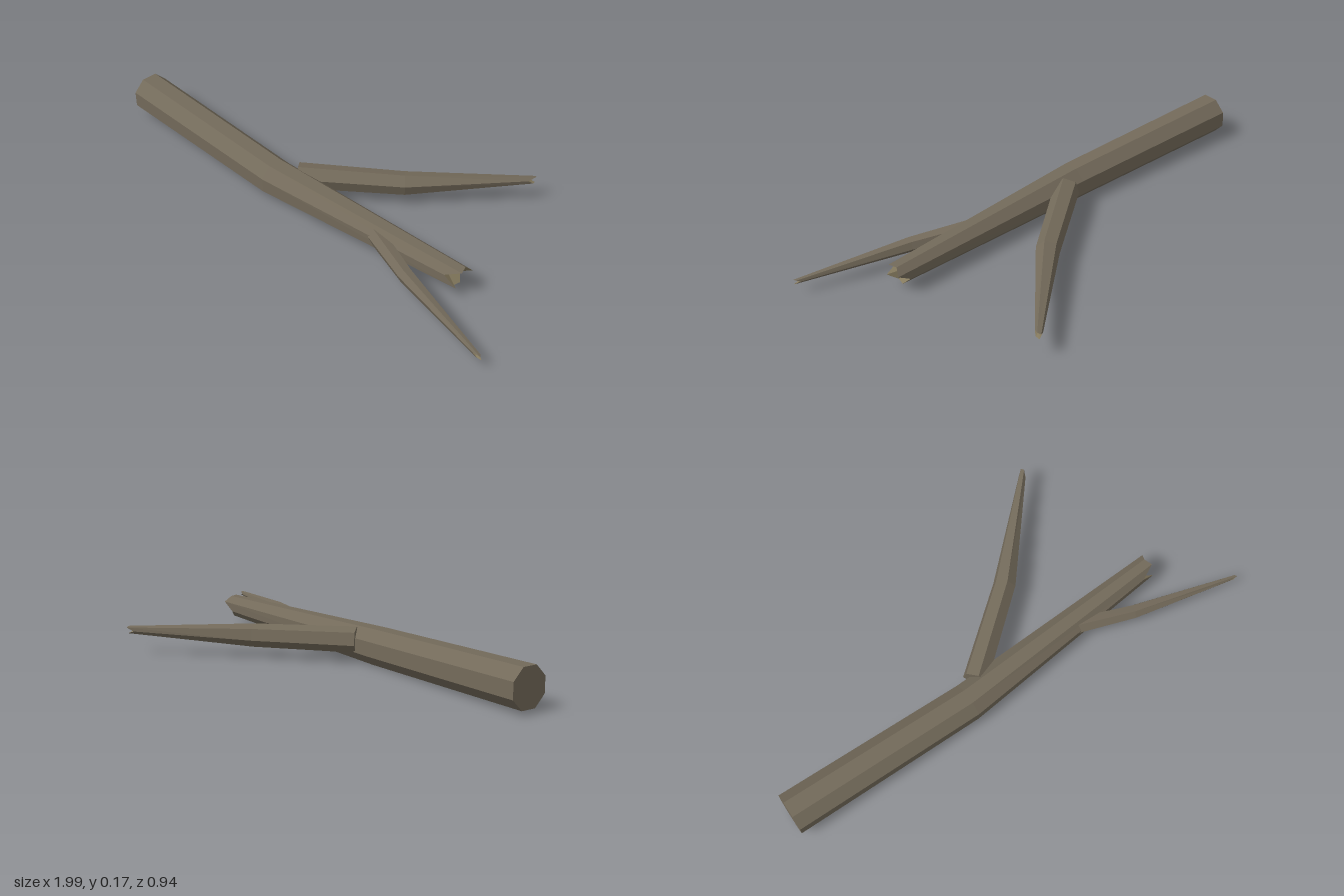
import * as THREE from 'three';

const bark = new THREE.MeshStandardMaterial({ color: 0x736a5a, flatShading: true });
const wood = new THREE.MeshStandardMaterial({ color: 0x857a5e, flatShading: true });

function facets(name, points, material) {
  const geometry = new THREE.BufferGeometry().setFromPoints(points);
  geometry.computeVertexNormals();
  const mesh = new THREE.Mesh(geometry, material);
  mesh.name = name;
  return mesh;
}

// A faceted limb through rings [x, y, z, radius]; jag moves the last ring's
// corners along the limb, and the broken end sinks in by the given depth.
function limb(name, rings, sides, turn, jag, depth) {
  const centres = rings.map(([x, y, z]) => new THREE.Vector3(x, y, z));
  const last = rings.length - 1;
  const up = new THREE.Vector3(0, 1, 0);
  const axes = centres.map((c, k) =>
    centres[Math.min(k + 1, last)].clone().sub(centres[Math.max(k - 1, 0)]).normalize());
  const loops = rings.map((ring, k) => {
    const across = axes[k].clone().cross(up).normalize();
    const rise = across.clone().cross(axes[k]);
    return Array.from({ length: sides }, (_, i) => {
      const a = THREE.MathUtils.degToRad(turn) + (i / sides) * Math.PI * 2;
      return centres[k].clone()
        .addScaledVector(across, Math.cos(a) * ring[3])
        .addScaledVector(rise, Math.sin(a) * ring[3])
        .addScaledVector(axes[k], k === last ? jag[i % jag.length] : 0);
    });
  });

  const skin = [], broken = [];
  const core = centres[last].clone().addScaledVector(axes[last], -depth);
  for (let i = 0; i < sides; i++) {
    const j = (i + 1) % sides;
    for (let k = 0; k < last; k++) {
      const a = loops[k], b = loops[k + 1];
      skin.push(a[i], b[i], a[j], a[j], b[i], b[j]);
    }
    skin.push(centres[0], loops[0][i], loops[0][j]);
    broken.push(core, loops[last][j], loops[last][i]);
  }

  const group = new THREE.Group();
  group.name = name;
  group.add(facets(name + 'Bark', skin, bark), facets(name + 'BrokenEnd', broken, wood));
  return group;
}

export function createModel() {
  const model = new THREE.Group();
  model.name = 'brokenBranch';
  model.add(
    // Main stem, slightly bent, with a splintered end
    limb('stem', [
      [-0.99, 0.10, 0, 0.085],
      [-0.19, 0.078, 0.12, 0.078],
      [0.71, 0.086, 0.182, 0.046],
    ], 8, 21, [-0.03, 0.03, 0.02, 0.035, -0.02, 0.0, -0.01, 0.025], 0.05),
    // Large fork toward the back
    limb('rearFork', [
      [-0.11, 0.098, 0.075, 0.052],
      [0.25, 0.093, -0.145, 0.047],
      [0.645, 0.103, -0.458, 0.015],
    ], 6, 15, [-0.02, 0.01, 0.015, -0.015, 0.01, 0], 0.02),
    // Thin fork toward the front
    limb('frontFork', [
      [0.34, 0.092, 0.178, 0.036],
      [0.555, 0.08, 0.288, 0.03],
      [0.97, 0.06, 0.453, 0.009],
    ], 6, 10, [-0.02, 0.015, 0.005, -0.01, 0.018, 0], 0.02),
  );
  return model;
}
